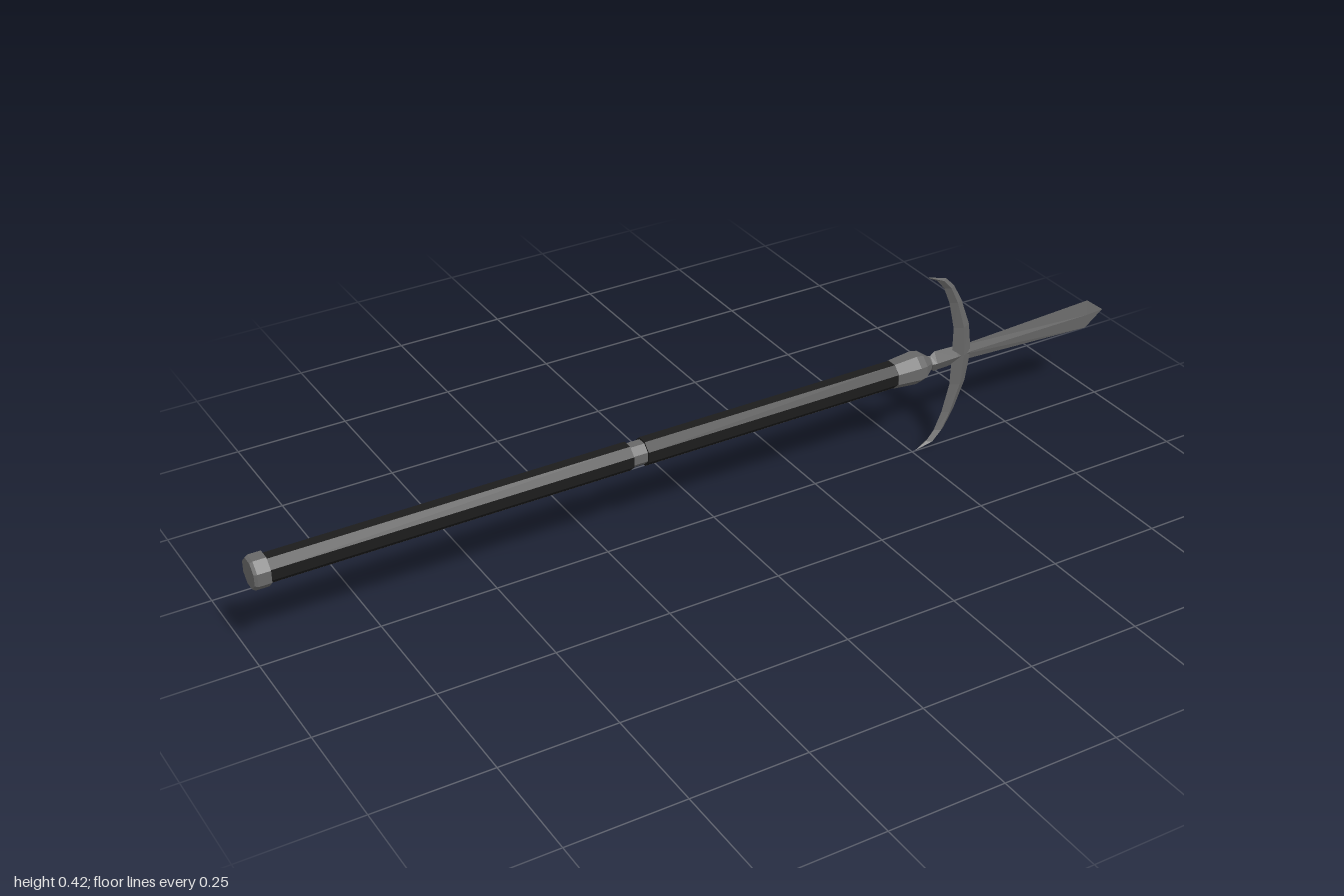
import * as THREE from 'three';

const AXIS = 0.213; // height of the shaft axis

export function createModel() {
  const model = new THREE.Group();
  const steel = new THREE.MeshStandardMaterial({ name: 'grey steel', color: 0x686868, flatShading: true });
  const black = new THREE.MeshStandardMaterial({ name: 'black wood', color: 0x1c1c1c, flatShading: true });

  const add = (name, geometry, material) => {
    const mesh = new THREE.Mesh(geometry, material);
    mesh.name = name;
    model.add(mesh);
    return mesh;
  };

  // Eight-sided part turned about the shaft axis, from [x, radius] pairs
  const turned = (name, profile, material) => {
    const geometry = new THREE.LatheGeometry(profile.map(([x, r]) => new THREE.Vector2(r, x)), 8, Math.PI / 8);
    geometry.rotateZ(-Math.PI / 2).translate(0, AXIS, 0);
    return add(name, geometry, material);
  };

  // Skin joining rings of equal point count
  const loft = (rings) => {
    const n = rings[0].length;
    const index = [];
    for (let i = 0; i < rings.length - 1; i++) {
      for (let j = 0; j < n; j++) {
        const a = i * n + j, b = i * n + (j + 1) % n;
        index.push(a, b, b + n, a, b + n, a + n);
      }
    }
    const geometry = new THREE.BufferGeometry();
    geometry.setAttribute('position', new THREE.Float32BufferAttribute(rings.flat(2), 3));
    geometry.setIndex(index);
    geometry.computeVertexNormals();
    return geometry;
  };

  // Shaft in two lengths, with steel fittings
  turned('rearShaft', [[-0.97, 0], [-0.97, 0.03], [-0.2, 0.03], [-0.2, 0]], black);
  turned('frontShaft', [[-0.167, 0], [-0.167, 0.03], [0.44, 0.03], [0.44, 0]], black);
  turned('middleRing', [[-0.205, 0.026], [-0.16, 0.026]], steel);
  turned('buttCap', [[-1, 0], [-1, 0.031], [-0.994, 0.035], [-0.967, 0.035], [-0.967, 0]], steel);
  turned('socket', [[0.435, 0], [0.435, 0.031], [0.49, 0.036], [0.507, 0.033], [0.53, 0.016], [0.53, 0]], steel);

  // Neck and blade: [x, half height, half thickness], diamond in section
  const diamond = ([x, h, t]) => [[x, AXIS + h, 0], [x, AXIS, t], [x, AXIS - h, 0], [x, AXIS, -t]];
  add('neck', loft([
    [0.515, 0, 0], [0.515, 0.019, 0.018], [0.535, 0.016, 0.012], [0.545, 0.024, 0.014],
    [0.6, 0.022, 0.012], [0.635, 0.018, 0.007], [0.635, 0, 0],
  ].map(diamond)), steel);
  add('blade', loft([
    [0.6, 0, 0], [0.6, 0.018, 0.006], [0.955, 0.034, 0.004], [1, 0, 0],
  ].map(diamond)), steel);

  // Crescent crossguard, mirrored about the axis:
  // [height from axis, inner x, outer x, half thickness]
  const half = [
    [0, 0.59, 0.639, 0.01], [0.07, 0.589, 0.629, 0.01], [0.135, 0.573, 0.604, 0.009],
    [0.175, 0.556, 0.582, 0.009], [0.198, 0.537, 0.56, 0.008], [0.212, 0.511, 0.516, 0.001],
  ];
  const sections = [
    ...half.slice(1).reverse().map(([y, ...rest]) => [-y, ...rest]),
    ...half,
  ];
  const crescent = loft(sections.map(([y, inner, outer, t]) => {
    const mid = (inner + outer) / 2;
    const z = 0.003 + y * 0.027; // slight lean
    const h = AXIS + y;
    return [[mid, h, z + t], [outer, h, z], [mid, h, z - t], [inner, h, z]];
  }));
  add('crescentGuard', crescent, steel);

  return model;
}
